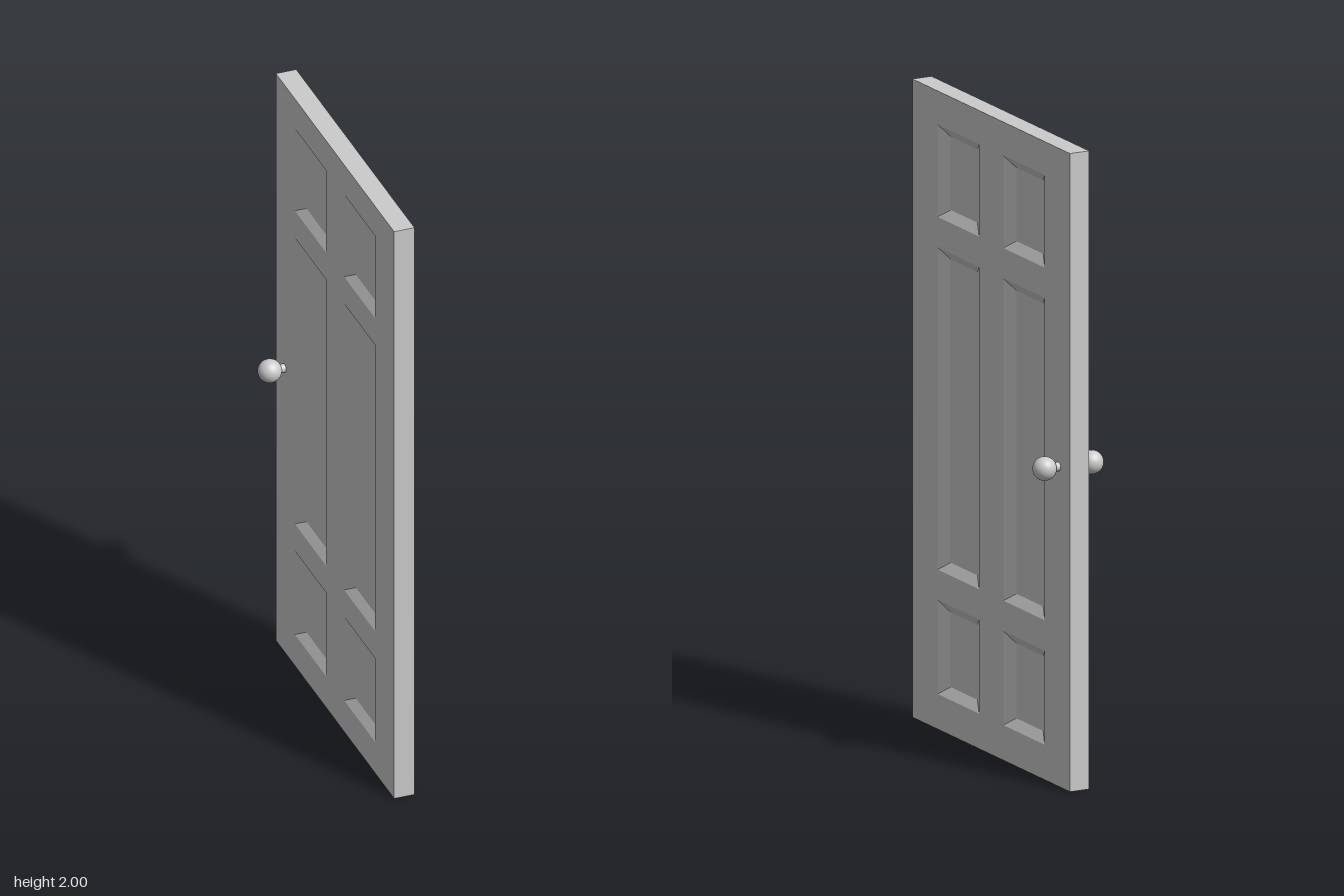
import * as THREE from 'three';

const HALF_T = 0.033;   // half the door thickness
const DEPTH = 0.02;     // how far the panels are sunk
const INSET = { x: 0.047, y: 0.03 };  // bevel widths

const material = new THREE.MeshStandardMaterial({ color: 0xcccccc });

function mesh(name, geometry, parent) {
  const m = new THREE.Mesh(geometry, material);
  m.name = name;
  parent.add(m);
  return m;
}

// Panel openings: two columns by three rows
const openings = [];
for (const [x0, x1] of [[-0.34, -0.077], [0.077, 0.34]]) {
  for (const [y0, y1] of [[0.11, 0.405], [0.5, 1.51], [1.605, 1.895]]) {
    openings.push({ x0, x1, y0, y1 });
  }
}

const corners = ({ x0, x1, y0, y1 }) => [[x0, y0], [x1, y0], [x1, y1], [x0, y1]];

// Sunken panel: four sloping bevels around a flat field
function recessGeometry(o) {
  const outer = corners(o).map(([x, y]) => [x, y, 0]);
  const inner = corners({
    x0: o.x0 + INSET.x, x1: o.x1 - INSET.x, y0: o.y0 + INSET.y, y1: o.y1 - INSET.y,
  }).map(([x, y]) => [x, y, -DEPTH]);
  const positions = [];
  const quad = (a, b, c, d) => positions.push(...a, ...b, ...c, ...a, ...c, ...d);
  for (let i = 0; i < 4; i++) {
    const j = (i + 1) % 4;
    quad(outer[i], outer[j], inner[j], inner[i]);
  }
  quad(...inner);
  const g = new THREE.BufferGeometry();
  g.setAttribute('position', new THREE.Float32BufferAttribute(positions, 3));
  g.computeVertexNormals();
  return g;
}

// Flat door face with the openings cut out
function faceGeometry() {
  const points = (o) => corners(o).map(([x, y]) => new THREE.Vector2(x, y));
  const shape = new THREE.Shape(points({ x0: -0.5, x1: 0.5, y0: 0, y1: 2 }));
  for (const o of openings) shape.holes.push(new THREE.Path(points(o).reverse()));
  return new THREE.ShapeGeometry(shape);
}

// One side of the door, built facing +z and turned to face +x or -x
function createSide(s) {
  const side = new THREE.Group();
  side.name = s > 0 ? 'leftSide' : 'rightSide';
  mesh('face', faceGeometry(), side);
  for (const o of openings) mesh('panel', recessGeometry(o), side);

  const knob = new THREE.Group();
  knob.name = 'knob';
  knob.position.set(s * 0.427, 1.002, 0);
  const stem = mesh('knobStem', new THREE.CylinderGeometry(0.014, 0.014, 0.03, 24), knob);
  stem.rotation.x = Math.PI / 2;
  stem.position.z = 0.013;
  const ball = mesh('knobBall', new THREE.SphereGeometry(0.037, 32, 20), knob);
  ball.position.z = 0.081 - HALF_T;
  side.add(knob);

  side.rotation.y = s * Math.PI / 2;
  side.position.x = s * HALF_T;
  return side;
}

export function createModel() {
  const door = new THREE.Group();
  door.name = 'door';

  // Narrow edges: a box without its two broad faces
  const edges = new THREE.BoxGeometry(HALF_T * 2, 2, 1);
  edges.setIndex(Array.from(edges.index.array).slice(12));
  edges.clearGroups();
  mesh('edges', edges, door).position.y = 1;

  for (const s of [1, -1]) door.add(createSide(s));
  return door;
}
